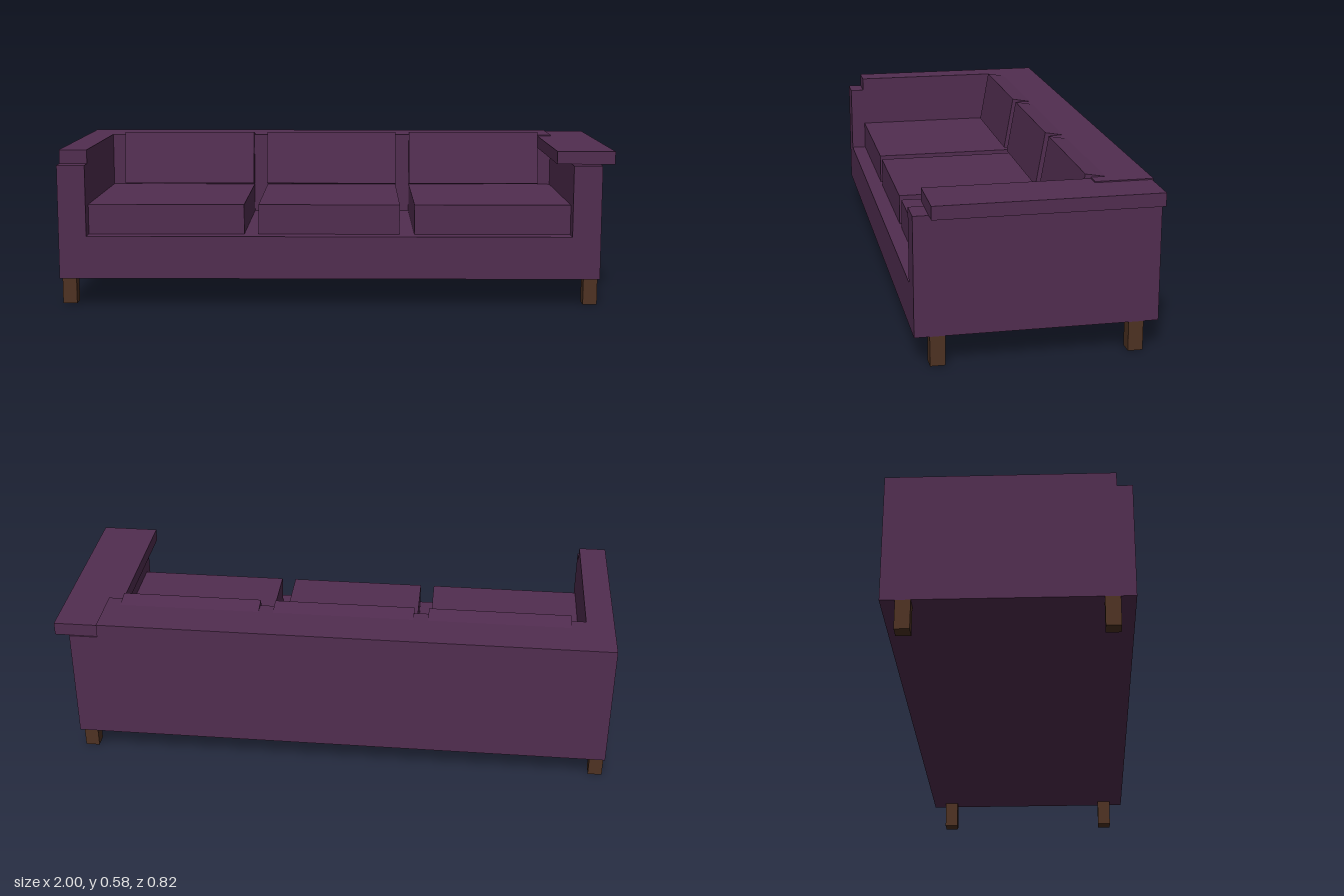
import * as THREE from 'three';

export function createModel() {
  const sofa = new THREE.Group();
  sofa.name = 'sofa';

  const fabric = new THREE.MeshStandardMaterial({ color: 0x512d50 });
  fabric.name = 'plum fabric';
  const wood = new THREE.MeshStandardMaterial({ color: 0x4e3222 });
  wood.name = 'dark wood';

  // Box given by its extents on each axis
  function block(name, material, [x0, x1], [y0, y1], [z0, z1]) {
    const mesh = new THREE.Mesh(new THREE.BoxGeometry(x1 - x0, y1 - y0, z1 - z0), material);
    mesh.position.set((x0 + x1) / 2, (y0 + y1) / 2, (z0 + z1) / 2);
    mesh.name = name;
    sofa.add(mesh);
    return mesh;
  }

  const legTop = 0.103, seatBase = 0.257, armTop = 0.514, backTop = 0.564;
  const front = 0.41, back = -0.41, backFront = -0.21;

  // Frame: base, backrest and arms
  block('base', fabric, [-1, 0.947], [legTop, seatBase], [back, front]);
  block('backrest', fabric, [-0.9, 0.845], [seatBase, backTop], [back, backFront]);
  block('rightArm', fabric, [-1, -0.9], [seatBase, armTop], [back, front]);
  block('leftArm', fabric, [0.845, 0.947], [seatBase, armTop], [back, front]);

  // Arm caps: the left one is wider and overhangs both sides
  block('rightArmCap', fabric, [-1, -0.9], [armTop, backTop], [back, 0.358]);
  block('leftArmCap', fabric, [0.792, 1], [armTop, 0.56], [-0.405, 0.358]);

  // Seat cushions; the outer two reach the arms
  const seats = [[-0.9, -0.335], [-0.283, 0.228], [0.281, 0.845]];
  for (const span of seats) {
    block('seatCushion', fabric, span, [seatBase, 0.365], [backFront, 0.355]);
  }

  // Back cushions, leaning back about their top front edge
  const tilt = THREE.MathUtils.degToRad(10);
  const backs = [[-0.848, -0.335], [-0.283, 0.228], [0.281, 0.792]];
  for (const [x0, x1] of backs) {
    const geometry = new THREE.BoxGeometry(x1 - x0, 0.204, 0.1).translate(0, -0.102, -0.05);
    const cushion = new THREE.Mesh(geometry, fabric);
    cushion.position.set((x0 + x1) / 2, 0.576, -0.191);
    cushion.rotation.x = -tilt;
    cushion.name = 'backCushion';
    sofa.add(cushion);
  }

  // Four square legs
  for (const x of [-1, 0.896]) {
    for (const z of [-0.359, 0.308]) {
      block('leg', wood, [x, x + 0.051], [0, legTop], [z, z + 0.051]);
    }
  }

  return sofa;
}
